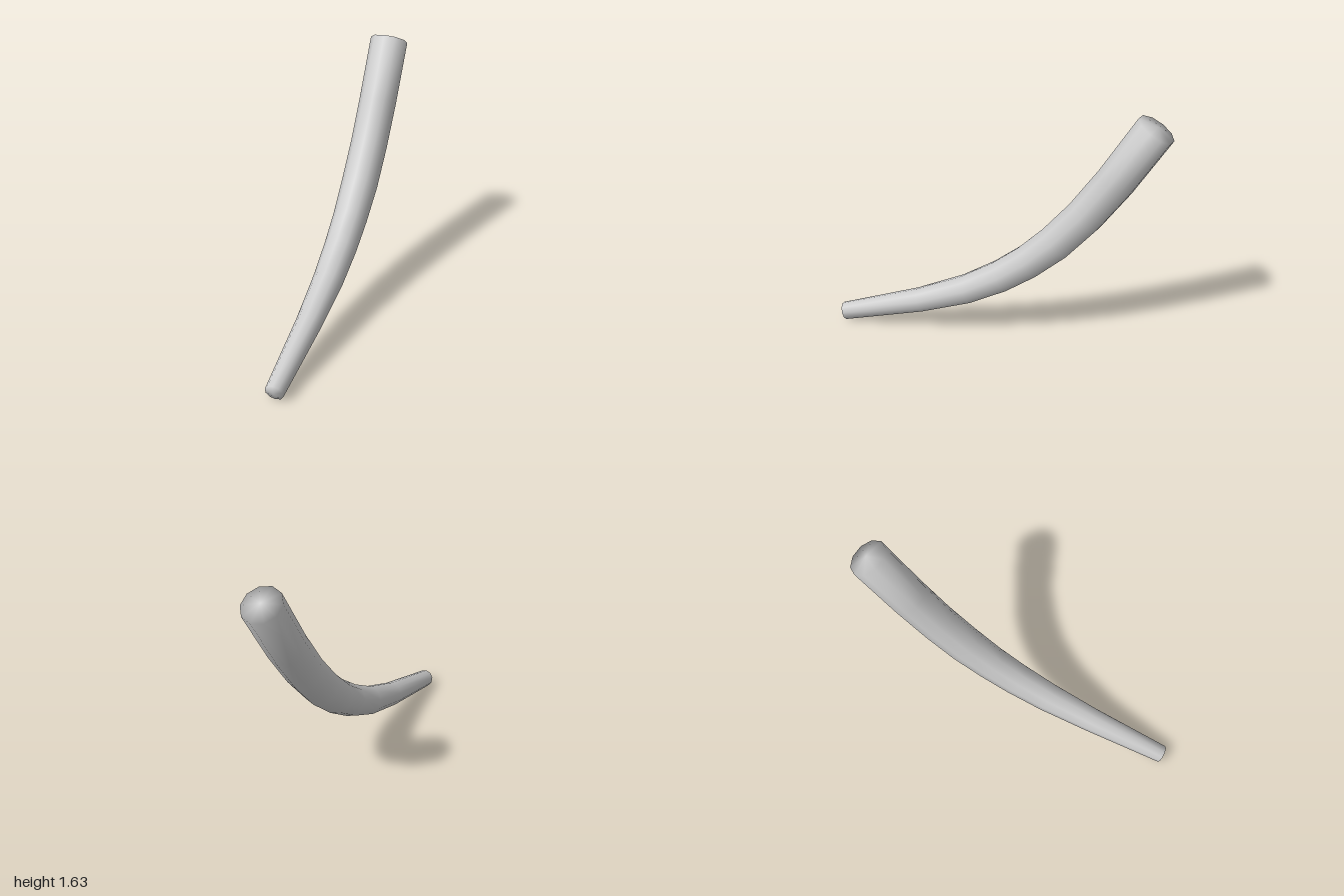
import * as THREE from 'three';

// Centre line from the thin tip to the thick root: [z, y, radius]
const PATH = [
  [0.972, 0.058, 0.058],
  [0.475, 0.217, 0.08],
  [0.175, 0.343, 0.095],
  [-0.035, 0.47, 0.104],
  [-0.2, 0.6, 0.11],
  [-0.365, 0.765, 0.117],
  [-0.525, 0.968, 0.119],
  [-0.685, 1.215, 0.121],
  [-0.888, 1.573, 0.122],
];
const SIDES = 10;

// The whole curve lies in one upright plane, turned slightly about y
const centre = ([z, y]) => new THREE.Vector3(0.025 + 0.32 * z, y, z);

function hornGeometry() {
  const points = PATH.map(centre);
  const last = points.length - 1;
  const side = new THREE.Vector3(1, 0, -0.32).normalize();
  const positions = [];
  const index = [];
  const tangent = (i) => points[Math.min(i + 1, last)].clone()
    .sub(points[Math.max(i - 1, 0)]).normalize();

  // Rings square to the centre line
  points.forEach((p, i) => {
    const up = side.clone().cross(tangent(i));
    for (let j = 0; j < SIDES; j++) {
      const a = ((j + 0.5) / SIDES) * Math.PI * 2;
      const v = p.clone()
        .addScaledVector(side, Math.cos(a) * PATH[i][2])
        .addScaledVector(up, Math.sin(a) * PATH[i][2]);
      positions.push(v.x, v.y, v.z);
    }
  });

  // Skin between neighbouring rings
  for (let i = 0; i < last; i++) {
    for (let j = 0; j < SIDES; j++) {
      const k = (j + 1) % SIDES;
      const a = i * SIDES + j, b = i * SIDES + k;
      index.push(a, a + SIDES, b, b, a + SIDES, b + SIDES);
    }
  }

  // Slightly raised caps, sharing the end rings so the shading runs over the rim
  const tip = points[0].clone().addScaledVector(tangent(0), -0.012);
  const root = points[last].clone().addScaledVector(tangent(last), 0.018);
  const tipIndex = positions.length / 3;
  positions.push(...tip.toArray(), ...root.toArray());
  for (let j = 0; j < SIDES; j++) {
    const k = (j + 1) % SIDES;
    index.push(tipIndex, j, k);
    index.push(tipIndex + 1, last * SIDES + k, last * SIDES + j);
  }

  const geometry = new THREE.BufferGeometry();
  geometry.setAttribute('position', new THREE.Float32BufferAttribute(positions, 3));
  geometry.setIndex(index);
  geometry.computeVertexNormals();
  return geometry;
}

export function createModel() {
  const group = new THREE.Group();
  group.name = 'curvedHorn';
  const horn = new THREE.Mesh(
    hornGeometry(),
    new THREE.MeshStandardMaterial({ color: 0xcccccc }),
  );
  horn.name = 'horn';
  group.add(horn);
  return group;
}
